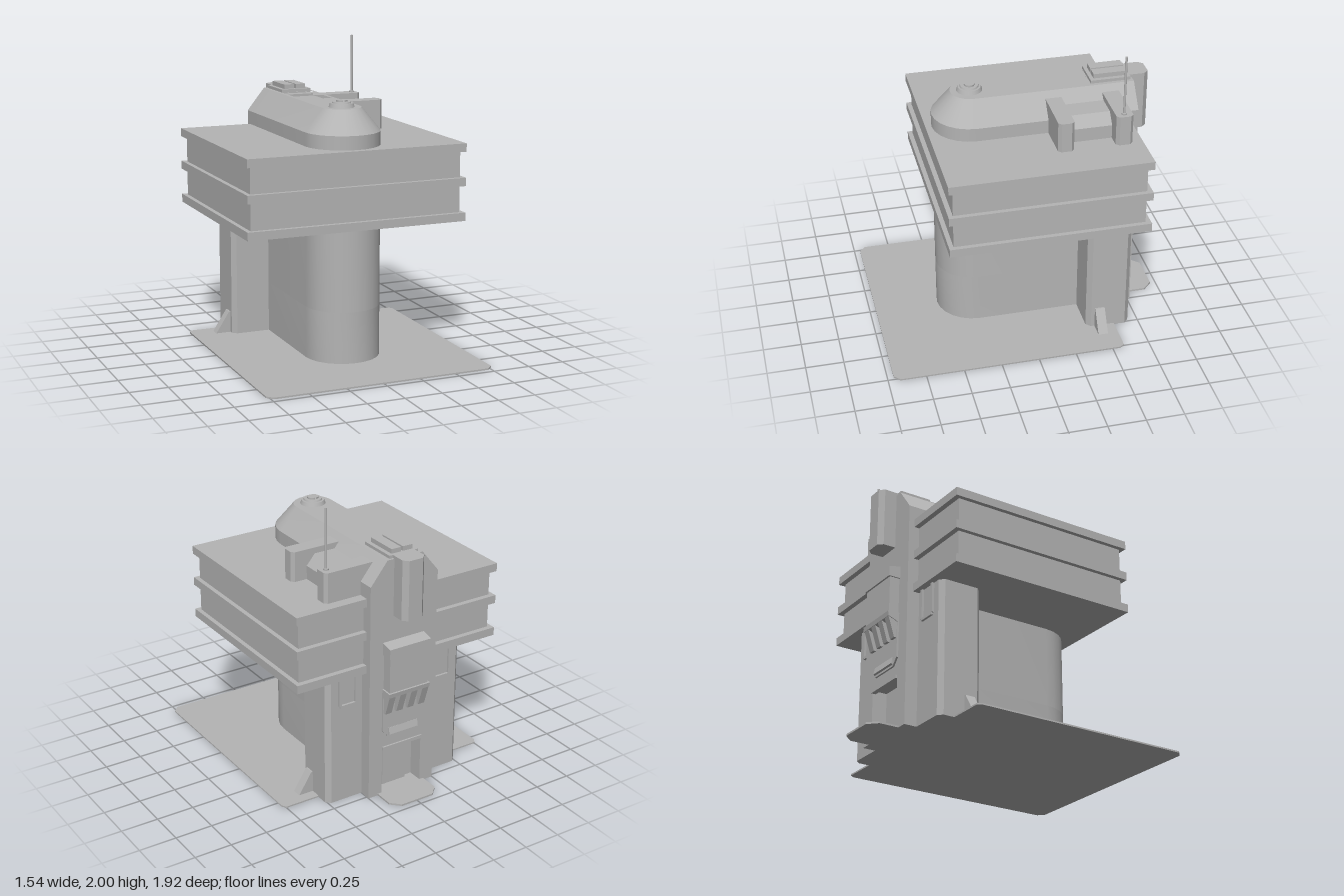
import * as THREE from 'three';
import { toCreasedNormals } from 'three/addons/utils/BufferGeometryUtils.js';

const grey = new THREE.MeshStandardMaterial({ color: 0xb4b4b4 });
grey.name = 'grey';

export function createModel() {
  const model = new THREE.Group();
  model.name = 'tower';

  const add = (name, geometry) => {
    const mesh = new THREE.Mesh(geometry, grey);
    mesh.name = name;
    model.add(mesh);
    return mesh;
  };
  // box from its limits
  const box = (name, x0, x1, y0, y1, z0, z1) =>
    add(name, new THREE.BoxGeometry(x1 - x0, y1 - y0, z1 - z0)
      .translate((x0 + x1) / 2, (y0 + y1) / 2, (z0 + z1) / 2));
  const shapeOf = (pts) => new THREE.Shape(pts.map(([a, b]) => new THREE.Vector2(a, b)));
  const extrude = (shape, depth) => new THREE.ExtrudeGeometry(shape, { depth, bevelEnabled: false });
  // plan outline of [x, z] raised from y0 to y1, with optional holes
  const plan = (name, pts, y0, y1, holes = []) => {
    const flip = (list) => list.map(([x, z]) => [x, -z]);
    const shape = shapeOf(flip(pts));
    for (const h of holes) shape.holes.push(shapeOf(flip(h)));
    const g = extrude(shape, y1 - y0).rotateX(-Math.PI / 2).translate(0, y0, 0);
    return add(name, toCreasedNormals(g, 0.6));
  };
  // side profile of [z, y] swept from x0 to x1
  const side = (name, pts, x0, x1) =>
    add(name, extrude(shapeOf(pts.map(([z, y]) => [-z, y])), x1 - x0)
      .rotateY(Math.PI / 2).translate(x0, 0, 0));
  // back elevation of [x, y] from z0 to z1
  const elevation = (name, pts, z0, z1) =>
    add(name, extrude(shapeOf(pts), z1 - z0).translate(0, 0, z0));
  const rect = (x0, x1, z0, z1) => [[x0, z0], [x1, z0], [x1, z1], [x0, z1]];
  const cylinder = (name, rTop, rBottom, x, y0, y1, z, n = 24) =>
    add(name, new THREE.CylinderGeometry(rTop, rBottom, y1 - y0, n).translate(x, (y0 + y1) / 2, z));

  // ground plate with clipped corners
  const c = 0.04;
  plan('groundPlate', [[-0.77 + c, 0.96], [0.77 - c, 0.96], [0.77, 0.96 - c], [0.77, -0.55],
    [0.75, -0.58], [-0.75, -0.58], [-0.77, -0.55], [-0.77, 0.96 - c]], 0, 0.01);

  // round-fronted core, with a doorway cut into the back at the bottom
  const BACK = -0.77;
  const nose = (r, zc) => Array.from({ length: 13 }, (_, i) => {
    const t = (Math.PI * i) / 12;
    return [r * Math.cos(t), zc + r * Math.sin(t)];
  });
  const outline = (r, zc) => [...nose(r, zc), [-r, BACK], [r, BACK]];
  plan('coreBase', [...nose(0.25, 0.285), [-0.25, BACK], [-0.15, BACK], [-0.15, -0.67],
    [0.15, -0.67], [0.15, BACK], [0.25, BACK]], 0, 0.35);
  plan('core', outline(0.25, 0.285), 0.35, 1.49);

  // sloped shoulders between the core and the roof
  const low = outline(0.25, 0.285), high = outline(0.13, 0.28), pos = [];
  low.forEach((p, i) => {
    const j = (i + 1) % low.length;
    const a = [p[0], 1.49, p[1]], b = [low[j][0], 1.49, low[j][1]];
    const d = [high[i][0], 1.64, high[i][1]], e = [high[j][0], 1.64, high[j][1]];
    pos.push(...a, ...d, ...b, ...b, ...d, ...e);
  });
  const shoulder = new THREE.BufferGeometry();
  shoulder.setAttribute('position', new THREE.Float32BufferAttribute(pos, 3));
  add('shoulder', toCreasedNormals(shoulder, 0.6));

  // roof with sunken panels
  plan('roof', outline(0.13, 0.28), 1.61, 1.64,
    [rect(-0.105, 0.105, -0.38, -0.12), rect(-0.105, 0.105, -0.485, -0.44)]);
  box('roofPanelFloor', -0.11, 0.11, 1.6, 1.615, -0.49, -0.11);

  // double roof hatch
  box('hatchFrame', -0.105, 0.105, 1.63, 1.66, -0.755, -0.49);
  for (const s of [-1, 1]) box('hatchLeaf', s * 0.042 - 0.035, s * 0.042 + 0.035, 1.65, 1.69, -0.735, -0.515);

  // round roof vent
  cylinder('ventBase', 0.075, 0.087, 0, 1.63, 1.665, 0.285);
  cylinder('ventRing', 0.058, 0.063, 0, 1.66, 1.675, 0.285);
  for (const s of [-1, 1]) {
    const half = new THREE.CylinderGeometry(0.033, 0.033, 0.012, 12, 1, false, s > 0 ? 0 : Math.PI, Math.PI);
    add('ventCap', half.translate(s * 0.005, 1.68, 0.285));
  }

  // wide upper storey with three bands
  box('upperStorey', -0.72, 0.72, 0.9, 1.39, -0.695, 0.545);
  for (const [y0, y1] of [[0.89, 0.945], [1.12, 1.175], [1.345, 1.4]])
    box('storeyBand', -0.75, 0.75, y0, y1, -0.73, 0.575);

  // side wings, braces and window frames
  for (const s of [-1, 1]) {
    plan('wing', [[s * 0.2, -0.39], [s * 0.48, -0.39], [s * 0.51, -0.42], [s * 0.51, -0.655],
      [s * 0.48, -0.685], [s * 0.2, -0.685]], 0, 0.9);
    elevation('brace', [[s * 0.5, 0], [s * 0.62, 0], [s * 0.52, 0.155], [s * 0.5, 0.155]], -0.51, -0.445);
    const x = s * 0.36;
    for (const d of [-1, 1]) box('windowFrameSide', x + d * 0.06 - 0.009, x + d * 0.06 + 0.009, 0.69, 0.9, -0.7, -0.68);
    box('windowFrameSill', x - 0.06, x + 0.06, 0.675, 0.693, -0.7, -0.68);
  }

  // equipment bay on the left of the roof
  for (const [z0, z1] of [[-0.28, -0.175], [-0.66, -0.55]])
    plan('bayArm', [[0.16, z0], [0.485, z0], [0.505, z0 + 0.02], [0.505, z1 - 0.02], [0.485, z1], [0.16, z1]], 1.39, 1.6);
  elevation('bayCasing', [[0.13, 1.39], [0.4, 1.39], [0.4, 1.49], [0.34, 1.56], [0.13, 1.56]], -0.56, -0.27);

  // antenna
  cylinder('antennaFoot', 0.018, 0.018, 0.465, 1.595, 1.61, -0.605, 12);
  cylinder('antenna', 0.008, 0.008, 0.465, 1.6, 2, -0.605, 10);

  // pod high on the back
  plan('rearPod', [[-0.08, -0.74], [0.08, -0.74], [0.08, -0.855], [0.05, -0.887], [-0.05, -0.887], [-0.08, -0.855]], 1.26, 1.66);

  // rear cabinet with hood, slatted skirt and backing plate
  side('cabinetHood', [[-0.76, 1.095], [-0.85, 1.075], [-0.85, 1.01], [-0.76, 1.01]], -0.155, 0.155);
  box('cabinet', -0.145, 0.145, 0.76, 1.02, -0.838, -0.76);
  side('cabinetSkirt', [[-0.76, 0.77], [-0.85, 0.765], [-0.845, 0.735], [-0.76, 0.7]], -0.155, 0.155);
  for (let i = 0; i < 4; i++) {
    const x = -0.126 + i * 0.084;
    side('skirtFin', [[-0.76, 0.76], [-0.845, 0.74], [-0.8, 0.6], [-0.76, 0.6]], x - 0.024, x + 0.024);
  }
  elevation('cabinetBacking', [[-0.155, 0.77], [-0.155, 0.47], [-0.11, 0.42], [0.11, 0.42], [0.155, 0.47], [0.155, 0.77]], -0.782, -0.76);
  side('backingLip', [[-0.76, 0.49], [-0.783, 0.485], [-0.793, 0.44], [-0.76, 0.42]], -0.11, 0.11);

  // doorway and step
  box('doorLintel', -0.15, 0.15, 0.33, 0.352, -0.782, -0.75);
  box('doorLeaf', -0.09, 0.09, 0, 0.27, -0.69, -0.66);
  plan('doorStep', [[-0.18, -0.66], [0.18, -0.66], [0.18, -0.9], [0.12, -0.96], [-0.12, -0.96], [-0.18, -0.9]], 0, 0.012);

  return model;
}
